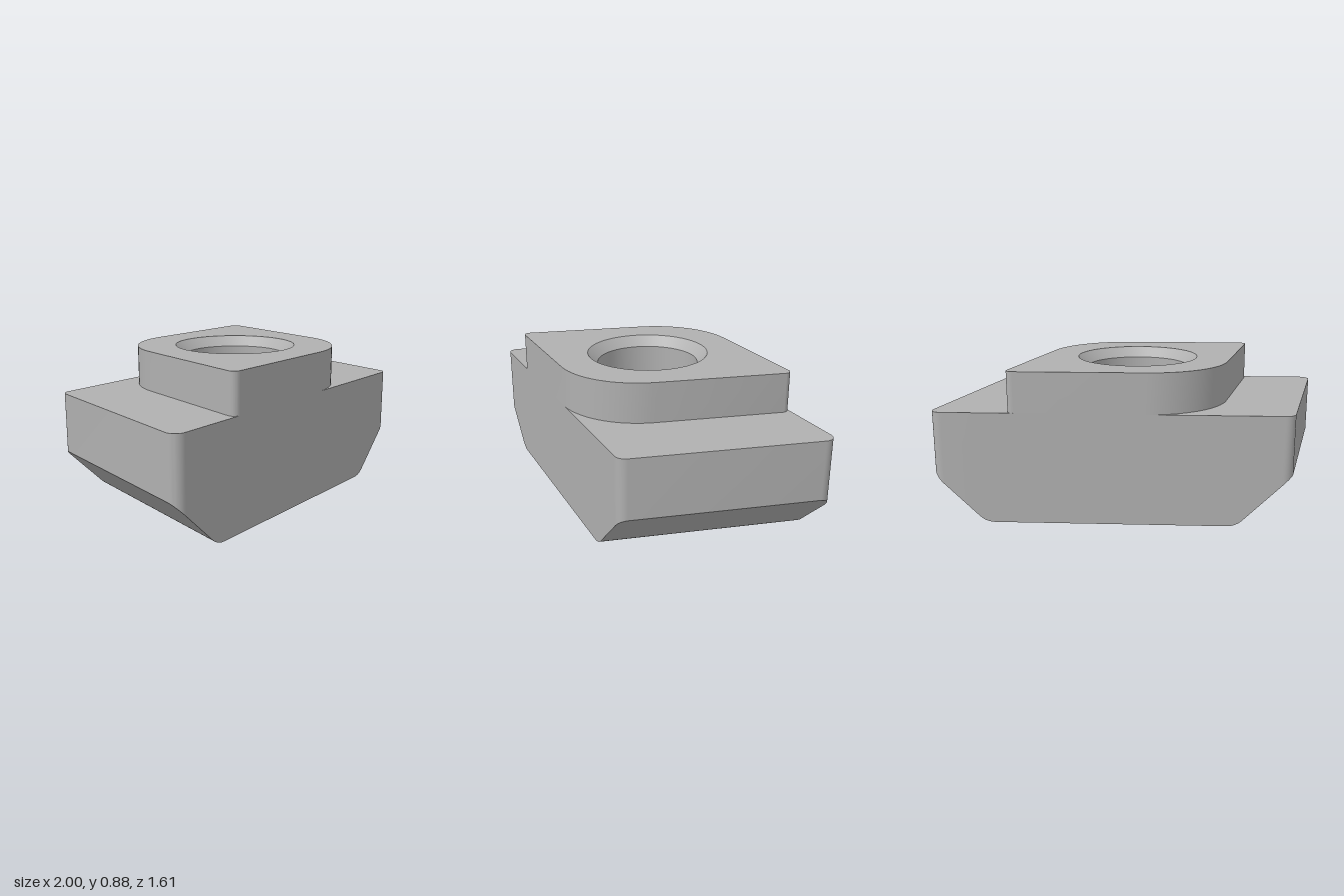
import * as THREE from 'three';
import { toCreasedNormals } from 'three/addons/utils/BufferGeometryUtils.js';

const SHOULDER = 0.65, TOP = 0.885;      // heights of the wide body and the raised block
const SLOPE = 0.23, HALF = 0.59;         // slanted front edge: z = HALF - SLOPE * x
const BORE = 0.305, RIM = 0.365, BEVEL = 0.06;
const CORNER = 0.06, FILLET = 0.12, FLAT = 0.65;

// front edge of the body, with rounded ends; the back is its half-turn
function front(x) {
  const arc = (cx, cz) => cz + Math.sqrt(Math.max(0, CORNER ** 2 - (x - cx) ** 2));
  if (x > 0.9535) return arc(0.94, 0.312);
  if (x < -0.9266) return arc(-0.94, 0.745);
  return HALF - SLOPE * x;
}
const back = x => -front(-x);

// underside height: flat, small fillet, then a 45 degree bevel
function under(x) {
  const d = Math.abs(x) - FLAT;
  if (d <= 0) return 0;
  return d < 0.0848 ? FILLET - Math.sqrt(FILLET ** 2 - d * d) : d - 0.05;
}

// collects triangles and turns them into a geometry with sharp edges kept
class Surface {
  constructor() { this.data = []; }
  quad(a, b, c, d) { this.data.push(...a, ...b, ...c, ...a, ...c, ...d); }
  wall(points, low, high) {
    points.forEach(([x, z], i) => {
      const [u, w] = points[(i + 1) % points.length];
      this.quad([x, low(x), z], [u, low(u), w], [u, high, w], [x, high, z]);
    });
  }
  cap(points, y, up, hole = []) {
    const toV = list => list.map(p => new THREE.Vector2(...p));
    const all = [...points, ...hole];
    const faces = THREE.ShapeUtils.triangulateShape(toV(points), hole.length ? [toV(hole)] : []);
    for (const f of faces) {
      let [a, b, c] = f.map(i => all[i]);
      const facesDown = (b[0] - a[0]) * (c[1] - a[1]) - (b[1] - a[1]) * (c[0] - a[0]) > 0;
      if (facesDown === up) [b, c] = [c, b];
      for (const p of [a, b, c]) this.data.push(p[0], y, p[1]);
    }
  }
  mesh(name, material) {
    const g = new THREE.BufferGeometry();
    g.setAttribute('position', new THREE.Float32BufferAttribute(this.data, 3));
    const m = new THREE.Mesh(toCreasedNormals(g, 0.4), material);
    m.name = name;
    return m;
  }
}

// polygon with each corner rounded by its own radius
function roundedOutline(corners, radii, n) {
  const points = [];
  corners.forEach((p, i) => {
    const c = new THREE.Vector2(...p);
    const toward = k => new THREE.Vector2(...corners[(i + k) % corners.length]).sub(c).normalize();
    const u = toward(corners.length - 1), v = toward(1), r = radii[i];
    const half = Math.acos(u.dot(v)) / 2, t = r / Math.tan(half);
    const o = u.clone().add(v).normalize().multiplyScalar(r / Math.sin(half)).add(c);
    const s = u.clone().multiplyScalar(t).add(c).sub(o), e = v.clone().multiplyScalar(t).add(c).sub(o);
    const start = Math.atan2(s.y, s.x);
    const sweep = Math.atan2(s.x * e.y - s.y * e.x, s.dot(e));
    for (let k = 0; k <= n; k++) {
      const a = start + sweep * k / n;
      points.push([o.x + r * Math.cos(a), o.y + r * Math.sin(a)]);
    }
  });
  return points;
}

export function createModel() {
  const group = new THREE.Group();
  const steel = new THREE.MeshStandardMaterial({ color: 0xb0b0b0 });
  steel.name = 'grey steel';

  // stations along x, from the flat underside out to the end
  const xs = [];
  for (let k = 0; k <= 6; k++) xs.push(FLAT + FILLET * Math.sin(k / 6 * Math.PI / 4));
  for (const a of [-0.226, 0]) xs.push(0.94 + CORNER * Math.sin(a));
  for (let k = 0; k <= 8; k++) xs.push(0.94 + CORNER * Math.sin(0.226 + (Math.PI / 2 - 0.226) * k / 8));
  const down = [...xs].reverse();
  const across = [...down.map(x => -x), ...xs];
  const turn = ([x, z]) => [-x, -z];
  const circle = Array.from({ length: 64 }, (_, i) => {
    const a = i / 64 * Math.PI * 2;
    return [RIM * Math.cos(a), RIM * Math.sin(a)];
  });

  // raised block with two sharp and two generously rounded corners
  const n = 16, w = 0.57;
  const near = HALF + SLOPE * w, far = HALF - SLOPE * w;
  const outline = roundedOutline([[-w, near], [w, far], [w, -near], [-w, -far]], [0.04, 0.48, 0.04, 0.48], n);
  const block = new Surface();
  block.wall(outline, () => SHOULDER, TOP);
  block.cap(outline, TOP, true, circle);
  group.add(block.mesh('raisedBlock', steel));

  // wide body: walls, bevelled underside and the two shoulders
  const body = new Surface();
  body.wall([...across.map(x => [x, front(x)]), ...[...across].reverse().map(x => [x, back(x)])], under, SHOULDER);
  body.cap([[-FLAT, front(-FLAT)], [FLAT, front(FLAT)], [FLAT, back(FLAT)], [-FLAT, back(-FLAT)]], 0, false, circle);
  for (let i = 0; i < xs.length - 1; i++) {
    const a = xs[i], b = xs[i + 1];
    const strip = [[a, back(a)], [b, back(b)], [b, front(b)], [a, front(a)]];
    for (const side of [strip, strip.map(turn)]) body.quad(...side.map(([x, z]) => [x, under(x), z]));
  }
  const shoulder = [
    ...outline.slice(n + 1, 3 * n + 3),
    ...xs.map(x => [x, back(x)]),
    ...down.map(x => [x, front(x)]),
  ];
  body.cap(shoulder, SHOULDER, true);
  body.cap(shoulder.map(turn), SHOULDER, true);
  group.add(body.mesh('body', steel));

  // bore with a countersink at both ends, seen from inside
  const profile = [[RIM, TOP], [BORE, TOP - BEVEL], [BORE, BEVEL], [RIM, 0]].map(p => new THREE.Vector2(...p));
  const bore = new THREE.Mesh(toCreasedNormals(new THREE.LatheGeometry(profile, 64), 0.4), steel);
  bore.name = 'bore';
  group.add(bore);

  return group;
}
